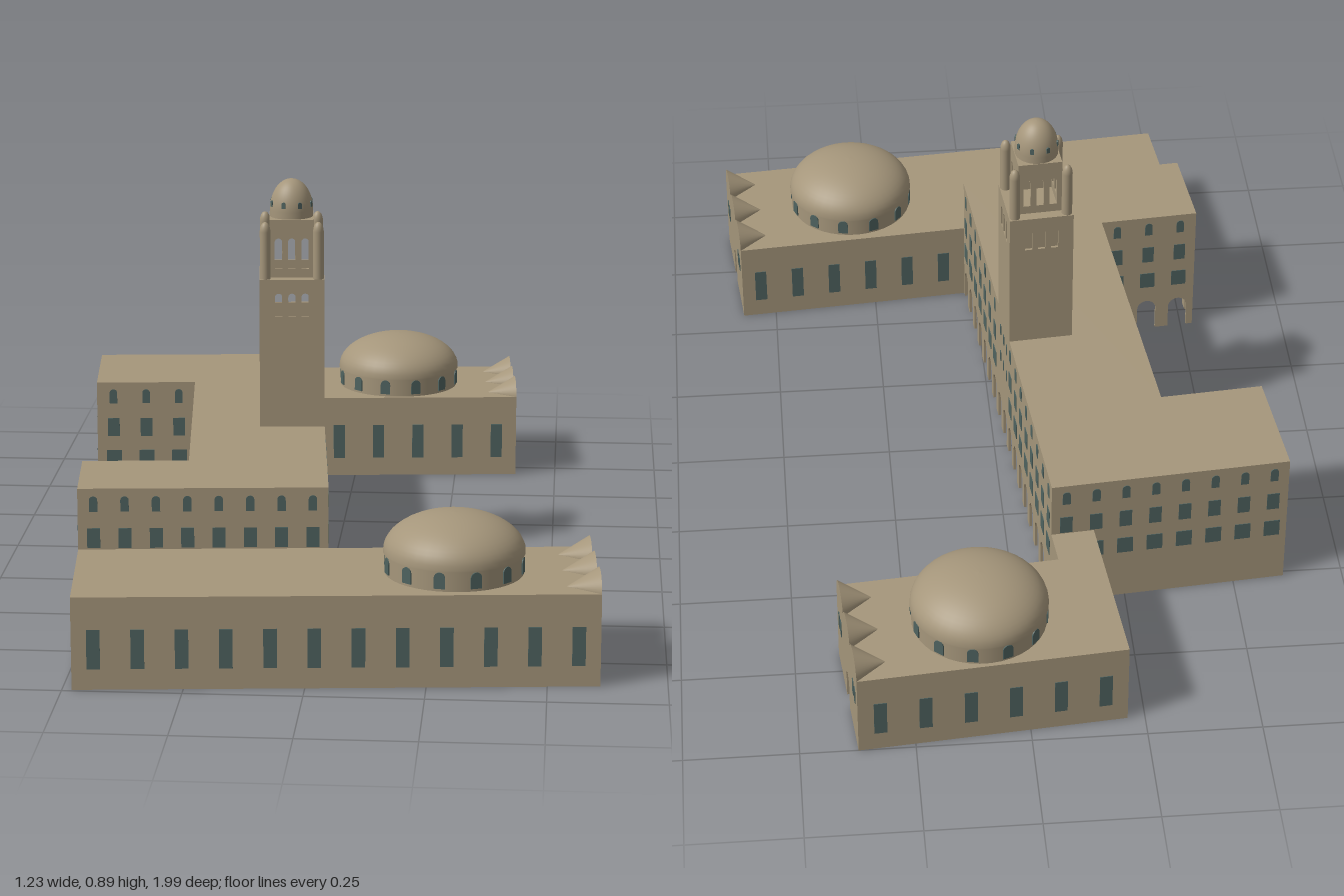
import * as THREE from 'three';
import { mergeGeometries } from 'three/addons/utils/BufferGeometryUtils.js';

const stone = new THREE.MeshStandardMaterial({ color: 0xa5967b, side: THREE.DoubleSide });
stone.name = 'sandstone';
const glass = new THREE.MeshStandardMaterial({ color: 0x4f6360 });
glass.name = 'windowGlass';
const T = 0.006; // wall thickness

function add(parent, name, geo, mat = stone) {
  const m = new THREE.Mesh(geo, mat);
  m.name = name;
  parent.add(m);
  return m;
}

// traces an opening (optionally round-headed) centred on s, from y to y + h
function opening(path, { s, y, w, h, arched }) {
  path.moveTo(s - w / 2, y);
  path.lineTo(s + w / 2, y);
  if (arched) {
    path.lineTo(s + w / 2, y + h - w / 2);
    path.absarc(s, y + h - w / 2, w / 2, 0, Math.PI, false);
  } else {
    path.lineTo(s + w / 2, y + h);
    path.lineTo(s - w / 2, y + h);
  }
  path.closePath();
  return path;
}

const plate = (o, depth = 0.009) => new THREE.ExtrudeGeometry(opening(new THREE.Shape(), o), { depth, bevelEnabled: false, curveSegments: 6 });

// evenly spaced copies of one opening along a length
const row = (len, n, o, from = 0) => Array.from({ length: n }, (_, i) => ({ ...o, s: from + (i + 0.5) * len / n }));

// wall from a to b with its outside on the right-hand side of travel
function wall(parent, name, a, b, y0, y1, { windows = [], holes = [], arches = [] } = {}) {
  const dx = b[0] - a[0], dz = b[1] - a[1], len = Math.hypot(dx, dz);
  const g = new THREE.Group();
  g.name = name;
  g.position.set(a[0], 0, a[1]);
  g.rotation.y = Math.atan2(-dz, dx);
  const sh = new THREE.Shape();
  sh.moveTo(0, y0);
  for (const { s, w, h } of arches) {
    sh.lineTo(s - w / 2, y0);
    sh.lineTo(s - w / 2, y0 + h - w / 2);
    sh.absarc(s, y0 + h - w / 2, w / 2, Math.PI, 0, true);
    sh.lineTo(s + w / 2, y0);
  }
  sh.lineTo(len, y0);
  sh.lineTo(len, y1);
  sh.lineTo(0, y1);
  sh.closePath();
  sh.holes = holes.map(o => opening(new THREE.Path(), o));
  add(g, 'wallPanel', new THREE.ExtrudeGeometry(sh, { depth: T, bevelEnabled: false, curveSegments: 8 })).position.z = -T;
  if (windows.length) add(g, 'windows', mergeGeometries(windows.map(o => plate(o))), glass).position.z = -T - 0.0015;
  parent.add(g);
}

// flat roof slab over a plan outline
function roof(parent, pts, top) {
  const sh = new THREE.Shape(pts.map(([x, z]) => new THREE.Vector2(x, -z)));
  const geo = new THREE.ExtrudeGeometry(sh, { depth: T, bevelEnabled: false });
  geo.rotateX(-Math.PI / 2);
  add(parent, 'roof', geo).position.y = top - T;
}

function part(parent, name) {
  const g = new THREE.Group();
  g.name = name;
  parent.add(g);
  return g;
}

// dome profile: straight drum, then a quarter ellipse
function domeGeometry(r, y0, spring, top) {
  const pts = [new THREE.Vector2(r, y0)];
  for (let i = 0; i <= 14; i++) {
    const t = i / 14 * Math.PI / 2;
    pts.push(new THREE.Vector2(r * Math.cos(t), spring + (top - spring) * Math.sin(t)));
  }
  return new THREE.LatheGeometry(pts, 40);
}

function ringWindows(parent, n, r, o) {
  const geos = Array.from({ length: n }, (_, i) => plate({ ...o, s: 0 }, 0.004).translate(0, 0, r - 0.002).rotateY((i + 0.5) / n * Math.PI * 2));
  add(parent, 'drumWindows', mergeGeometries(geos), glass);
}

// low hall dome on a windowed drum
function hallDome(parent, x, z) {
  const g = part(parent, 'hallDome');
  g.position.set(x, 0, z);
  add(g, 'drum', new THREE.CylinderGeometry(0.147, 0.147, 0.047, 40, 1, true)).position.y = 0.2225;
  add(g, 'domeShell', domeGeometry(0.15, 0.243, 0.246, 0.329));
  ringWindows(g, 12, 0.147, { y: 0.206, w: 0.024, h: 0.035, arched: true });
}

// entrance front openings
function facade(len) {
  const c = len / 2;
  return {
    arches: [{ s: c, w: 0.042, h: 0.08 }],
    windows: [-0.12, -0.093, 0.093, 0.12].map(d => ({ s: c + d, y: 0.11, w: 0.016, h: 0.042, arched: true })),
  };
}

// three half-cone gables running back from the entrance front
function gables(parent, x, z0, z1) {
  const r = (z1 - z0) / 6;
  for (let i = 0; i < 3; i++) {
    const geo = new THREE.ConeGeometry(1, 1, 24, 1, false, 0, Math.PI);
    geo.translate(0, 0.5, 0).rotateZ(Math.PI / 2).scale(0.07, 0.04, r);
    add(parent, 'gable', geo).position.set(x, 0.199, z0 + r * (2 * i + 1));
  }
}

const tall = { y: 0.045, w: 0.028, h: 0.085 };

function buildMain(root) {
  const g = part(root, 'mainBuilding');
  const P = [[-0.567, 0.613], [-0.03, 0.613], [-0.03, -0.567], [-0.567, -0.567],
    [-0.567, -0.294], [-0.333, -0.294], [-0.333, 0.394], [-0.567, 0.394]];
  P.forEach((a, i) => {
    const b = P[(i + 1) % P.length], len = Math.hypot(b[0] - a[0], b[1] - a[1]);
    const n = Math.round(len / 0.068);
    let windows = [
      ...row(len, n, { y: 0.284, w: 0.018, h: 0.034, arched: true }),
      ...row(len, n, { y: 0.203, w: 0.028, h: 0.044 }),
      ...(i === 0 ? [] : row(len, n, { y: 0.126, w: 0.036, h: 0.042 })),
    ];
    if (i === 1) { // narrow slits below the tower
      windows = windows.filter(o => Math.abs(o.s - 0.572) > 0.08);
      for (const y of [0.272, 0.195]) windows.push(...row(0.12, 3, { y, w: 0.009, h: 0.028, arched: true }, 0.512));
    }
    const arches = i === 0 || i === 2 ? [] : row(len, n, { w: 0.046, h: 0.083 });
    wall(g, 'mainWall', a, b, 0, 0.335, { windows, arches });
  });
  roof(g, P, 0.335);
}

function buildSouthHall(root) {
  const g = part(root, 'southHall');
  const x0 = -0.567, x1 = 0.527, z0 = 0.614, z1 = 0.947;
  wall(g, 'outerWall', [x0, z1], [x1, z1], 0, 0.2, { windows: row(x1 - x0, 12, tall) });
  wall(g, 'entranceWall', [x1, z1], [x1, z0], 0, 0.2, facade(z1 - z0));
  wall(g, 'innerWall', [x1, z0], [x0, z0], 0, 0.2, { windows: row(0.55, 6, tall) });
  wall(g, 'endWall', [x0, z0], [x0, z1], 0, 0.2, { windows: row(z1 - z0, 3, tall) });
  roof(g, [[x0, z1], [x1, z1], [x1, z0], [x0, z0]], 0.2);
  gables(g, x1, z0, z1);
  hallDome(g, 0.231, 0.78);
}

function buildNorthHall(root) {
  const g = part(root, 'northHall');
  const x0 = -0.126, x1 = 0.462, xc = -0.03, z0 = -0.963, z1 = -0.651, zc = -0.567;
  wall(g, 'innerWall', [xc, z1], [x1, z1], 0, 0.2, { windows: row(x1 - xc, 5, tall) });
  wall(g, 'entranceWall', [x1, z1], [x1, z0], 0, 0.2, facade(z1 - z0));
  wall(g, 'outerWall', [x1, z0], [x0, z0], 0, 0.2, { windows: row(x1 - x0, 6, tall) });
  wall(g, 'endWall', [x0, z0], [x0, zc], 0, 0.2, { windows: row(zc - z0, 4, tall) });
  wall(g, 'linkWall', [xc, zc], [xc, z1], 0, 0.2, { windows: row(zc - z1, 1, tall) });
  roof(g, [[x0, zc], [xc, zc], [xc, z1], [x1, z1], [x1, z0], [x0, z0]], 0.2);
  gables(g, x1, z0, z1);
  hallDome(g, 0.173, -0.807);
}

function buildTower(root) {
  const g = part(root, 'tower');
  g.position.set(-0.1035, 0, 0.041);
  // square hollow stage pierced by three arched openings on each side
  const stage = (name, r, y0, y1, y, h) => {
    const c = [[-r, r], [r, r], [r, -r], [-r, -r]];
    c.forEach((a, i) => wall(g, name, a, c[(i + 1) % 4], y0, y1,
      { holes: row(0.09, 3, { y, w: 0.017, h, arched: true }, r - 0.045) }));
    roof(g, c, y1);
  };
  stage('shaftWall', 0.0735, 0.33, 0.677, 0.592, 0.053);
  stage('belfryWall', 0.05, 0.677, 0.81, 0.697, 0.07);
  // round corner turrets
  for (const sx of [-1, 1]) for (const sz of [-1, 1])
    add(g, 'cornerTurret', domeGeometry(0.012, 0.676, 0.785, 0.807)).position.set(sx * 0.06, 0, sz * 0.06);
  add(g, 'towerDome', domeGeometry(0.049, 0.809, 0.825, 0.895));
  ringWindows(g, 8, 0.0475, { y: 0.834, w: 0.009, h: 0.014, arched: true });
}

export function createModel() {
  const model = new THREE.Group();
  model.name = 'domedStationBuilding';
  const root = part(model, 'buildings');
  root.rotation.y = 0.09;
  buildMain(root);
  buildSouthHall(root);
  buildNorthHall(root);
  buildTower(root);
  return model;
}
